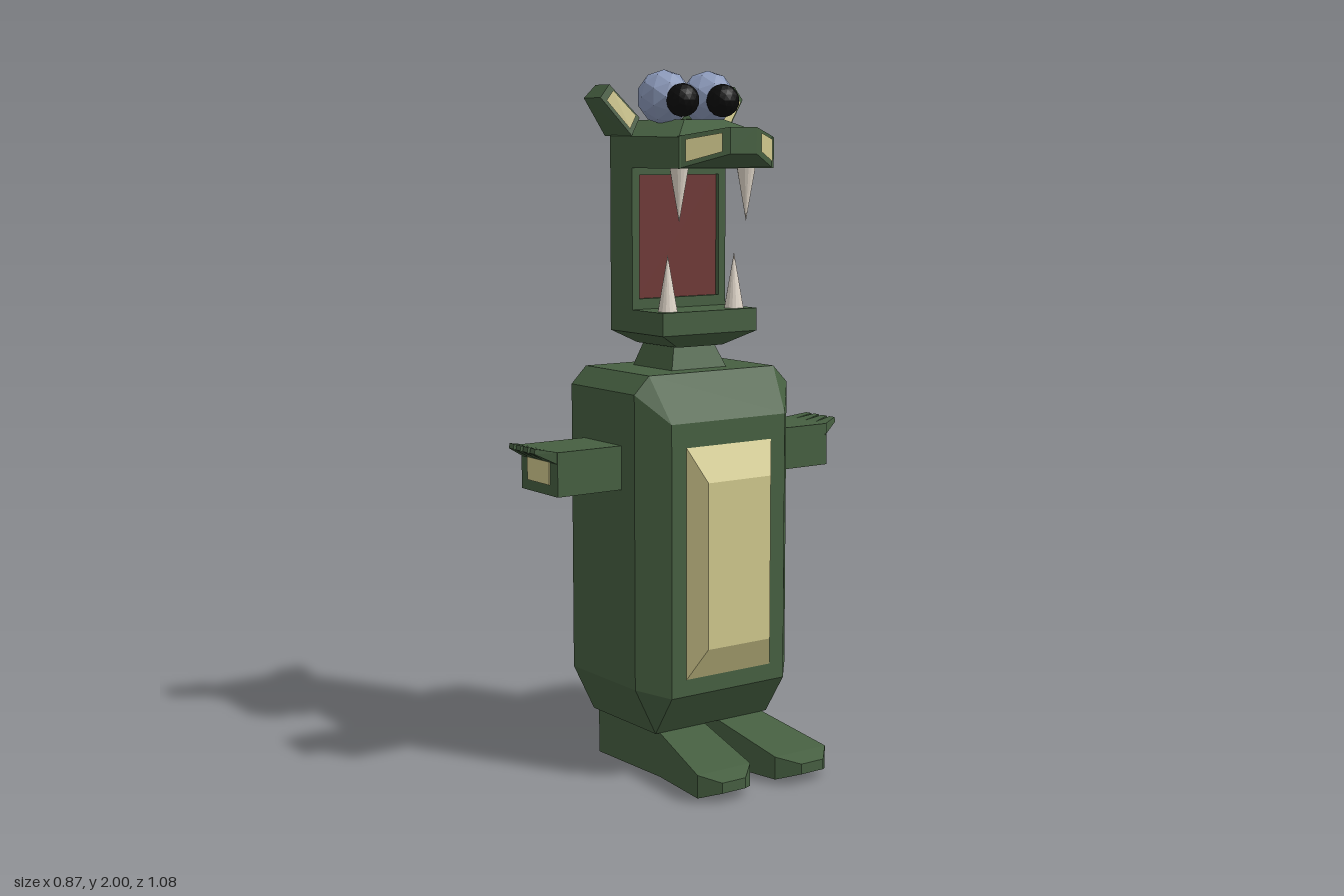
import * as THREE from 'three';
import { ConvexGeometry } from 'three/addons/geometries/ConvexGeometry.js';

const mat = (color, side = THREE.FrontSide) =>
  new THREE.MeshStandardMaterial({ color, flatShading: true, side });
const green = mat(0x465f41), cream = mat(0xcfc78c), creamThin = mat(0xcfc78c, THREE.DoubleSide);
const maroon = mat(0x6e3836), blue = mat(0x8c9abb), black = mat(0x0b0b0b), ivory = mat(0xe2d8cb);
const V = (x, y, z) => new THREE.Vector3(x, y, z);

// Points of a rectangle across x: [x, yLow, yHigh, zHalf]
const secX = (x, y0, y1, z) => [V(x, y0, -z), V(x, y0, z), V(x, y1, -z), V(x, y1, z)];
// Points of a rectangle across y: [y, xLow, xHigh, zHalf]
const secY = (y, x0, x1, z) => [V(x0, y, -z), V(x0, y, z), V(x1, y, -z), V(x1, y, z)];

export function createModel() {
  const group = new THREE.Group();
  const add = (name, geometry, material) => {
    const mesh = new THREE.Mesh(geometry, material);
    mesh.name = name;
    group.add(mesh);
    return mesh;
  };
  const hull = (name, material, ...sections) =>
    add(name, new ConvexGeometry(sections.flat()), material);
  // Inset plate floating just above a four-cornered face
  const plate = (name, corners, inset, lift) => {
    const mid = corners.reduce((a, c) => a.add(c), V(0, 0, 0)).multiplyScalar(0.25);
    const p = corners.map(c => c.clone().lerp(mid, inset).add(lift));
    const g = new THREE.BufferGeometry().setFromPoints([p[0], p[1], p[2], p[0], p[2], p[3]]);
    g.computeVertexNormals();
    return add(name, g, creamThin);
  };

  // Chamfered body, belly plate and neck
  hull('body', green,
    secY(1.16, -0.18, 0.14, 0.22), secY(1.11, -0.18, 0.14, 0.27), secY(0.27, -0.18, 0.14, 0.27),
    secY(0.13, -0.18, 0.14, 0.2), secX(0.22, 0.25, 1.03, 0.2), secX(-0.24, 0.27, 1.03, 0.2));
  hull('belly', cream, secX(0.21, 0.28, 0.98, 0.157), secX(0.27, 0.39, 0.865, 0.11));
  hull('neck', green, secY(1.15, -0.12, 0.08, 0.1), secY(1.23, -0.1, 0.05, 0.07));

  // Lower jaw, back of the head, and the framed mouth
  hull('lowerJaw', green, secY(1.225, -0.12, 0.08, 0.08), secY(1.265, -0.13, 0.13, 0.165),
    secY(1.33, -0.13, 0.13, 0.165), secX(-0.175, 1.27, 1.33, 0.12));
  hull('headBack', green, secX(-0.175, 1.3, 1.8, 0.12), secX(-0.13, 1.3, 1.8, 0.165),
    secX(-0.04, 1.3, 1.8, 0.165));
  const frame = new THREE.Shape([[-0.165, 1.32], [0.165, 1.32], [0.165, 1.74], [-0.165, 1.74]]
    .map(p => new THREE.Vector2(...p)));
  frame.holes.push(new THREE.Path([[-0.14, 1.36], [-0.14, 1.71], [0.14, 1.71], [0.14, 1.36]]
    .map(p => new THREE.Vector2(...p))));
  const frameGeo = new THREE.ExtrudeGeometry(frame, { depth: 0.02, bevelEnabled: false });
  frameGeo.rotateY(Math.PI / 2).translate(-0.04, 0, 0);
  add('mouthFrame', frameGeo, green);
  add('throat', new THREE.BoxGeometry(0.01, 0.35, 0.28).translate(-0.038, 1.535, 0), maroon);

  // Upper jaw and wedge-shaped nose
  hull('upperJaw', green, secX(-0.175, 1.73, 1.82, 0.12), secX(-0.13, 1.73, 1.82, 0.165),
    secX(0.205, 1.73, 1.815, 0.165), secY(1.865, -0.12, 0.1, 0.07));
  hull('nose', green, secX(0.2, 1.73, 1.818, 0.165), secX(0.28, 1.77, 1.843, 0.045));

  // Tail and back spikes
  const tailMid = [V(-0.33, 0.56, 0.03), V(-0.33, 0.56, -0.03),
    V(-0.39, 0.455, 0.055), V(-0.39, 0.455, -0.055)];
  hull('tailBase', cream, secX(-0.23, 0.35, 0.545, 0.09), tailMid);
  hull('tailTip', cream, tailMid, secY(0.615, -0.41, -0.405, 0.012), secY(0.6, -0.435, -0.43, 0.015));
  for (const y of [0.96, 0.828, 0.697])
    hull('backSpike', cream, secX(-0.23, y - 0.043, y + 0.042, 0.06),
      secX(-0.35, y - 0.015, y + 0.006, 0.012));

  for (const s of [1, -1]) {
    // Eyes
    add('eye', new THREE.IcosahedronGeometry(0.077, 1), blue).position.set(0.012, 1.927, s * 0.077);
    add('pupil', new THREE.IcosahedronGeometry(0.047, 2), black).position.set(0.092, 1.918, s * 0.07);

    // Ear with cream inside
    const earFront = [V(-0.02, 1.82, s * 0.165), V(-0.025, 1.87, s * 0.135),
      V(-0.05, 1.962, s * 0.22), V(-0.05, 1.925, s * 0.25)];
    const earBack = [V(-0.172, 1.82, s * 0.155), V(-0.165, 1.87, s * 0.11),
      V(-0.12, 1.962, s * 0.22), V(-0.135, 1.925, s * 0.25)];
    hull('ear', green, earFront, earBack);
    plate('innerEar', earFront, 0.25, V(0.006, 0, 0));

    // Nostril on the slanted nose face
    plate('nostril', [V(0.2, 1.73, s * 0.165), V(0.28, 1.77, s * 0.045),
      V(0.28, 1.843, s * 0.045), V(0.2, 1.818, s * 0.165)], 0.3, V(0.005, 0, s * 0.004));

    // Teeth
    const tooth = new THREE.ConeGeometry(0.028, 0.16, 16);
    add('lowerTooth', tooth, ivory).position.set(0.085, 1.41, s * 0.117);
    const upper = add('upperTooth', tooth, ivory);
    upper.position.set(0.14, 1.66, s * 0.117);
    upper.rotation.x = Math.PI;

    // Arm, palm and four fingers
    add('arm', new THREE.BoxGeometry(0.19, 0.125, 0.235), green).position.set(-0.02, 0.898, s * 0.363);
    add('palm', new THREE.BoxGeometry(0.115, 0.07, 0.006), cream).position.set(-0.022, 0.9, s * 0.481);
    for (let i = 0; i < 4; i++) {
      const x = -0.091 + i * 0.0475, tip = -0.076 + i * 0.037;
      const pts = [];
      for (const d of [-1, 1]) {
        pts.push(V(x + d * 0.0237, 0.925, s * 0.475), V(x + d * 0.0237, 0.96, s * 0.475),
          V(tip + d * 0.012, 0.958, s * 0.538), V(tip + d * 0.012, 0.972, s * 0.535));
      }
      hull('finger', green, pts);
    }

    // Foot: heel block and flared toe
    const face = (x, y0, y1, z0, z1) => [y0, y1].flatMap(y => [V(x, y, s * z0), V(x, y, s * z1)]);
    const ankle = face(0.14, 0, 0.13, 0.025, 0.185);
    hull('heel', green, face(-0.16, 0, 0.135, 0.02, 0.195), ankle);
    hull('toe', green, ankle, face(0.38, 0.012, 0.078, 0.045, 0.228), face(0.43, 0.03, 0.06, 0.1, 0.18));
  }
  return group;
}
